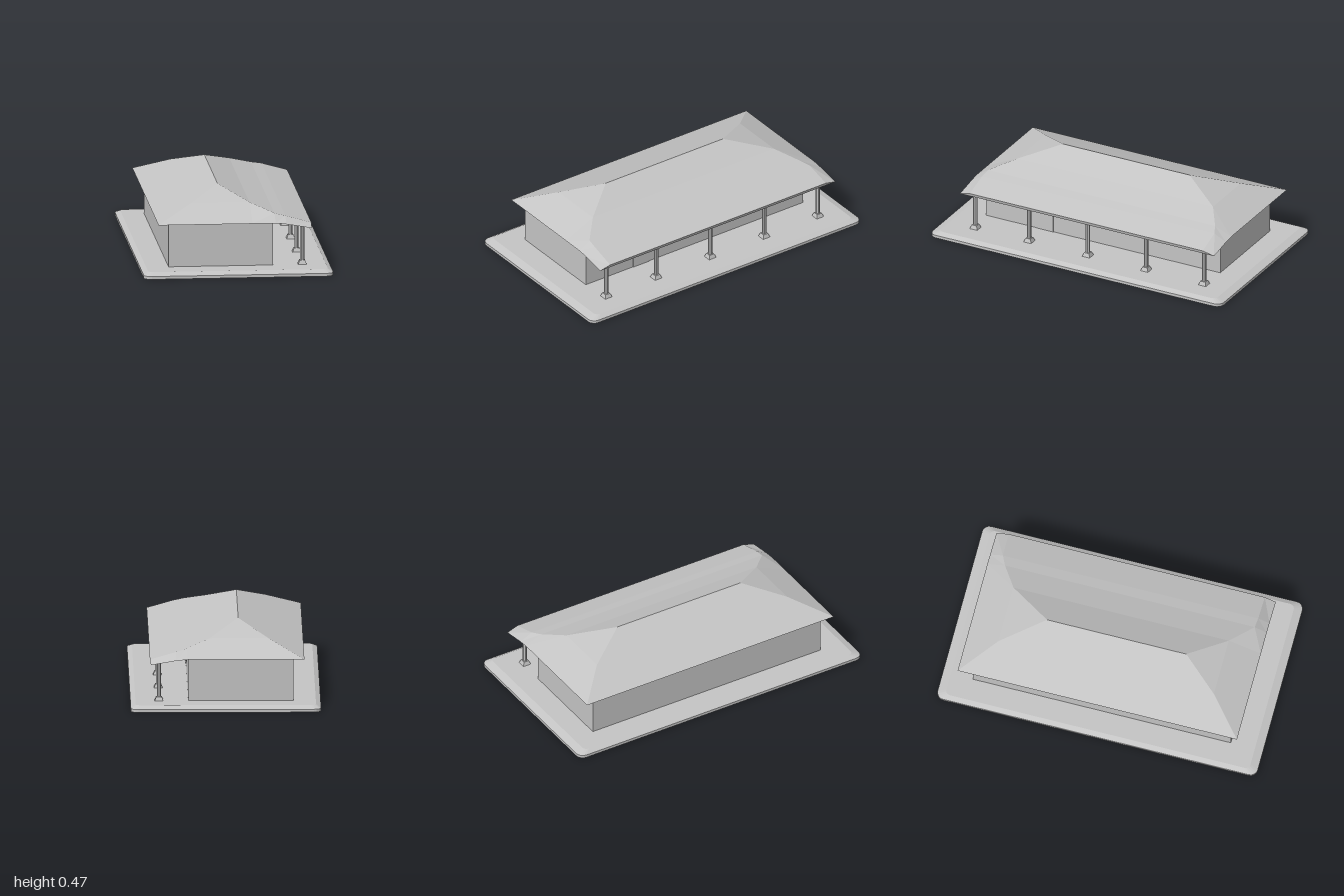
import * as THREE from 'three';

const plaster = new THREE.MeshStandardMaterial({ color: 0xc4c4c4 });
plaster.name = 'light grey';

// Flat-shaded geometry from a list of convex polygons (corners counter-clockwise)
function polygons(faces) {
  const out = [];
  const normal = new THREE.Vector3();
  for (const f of faces) {
    for (let i = 1; i < f.length - 1; i++) {
      const [a, b, c] = [f[0], f[i], f[i + 1]].map(p => new THREE.Vector3(...p));
      new THREE.Triangle(a, b, c).getNormal(normal);
      if (normal.lengthSq() < 0.5) continue; // collapsed corner
      for (const p of [a, b, c]) out.push(p.x, p.y, p.z);
    }
  }
  const g = new THREE.BufferGeometry();
  g.setAttribute('position', new THREE.Float32BufferAttribute(out, 3));
  g.computeVertexNormals();
  return g;
}

// Rounded rectangle loop at height y
function roundedLoop(hx, hz, r, y) {
  const pts = [];
  const corners = [[1, 1], [-1, 1], [-1, -1], [1, -1]];
  corners.forEach(([sx, sz], k) => {
    for (let i = 0; i <= 4; i++) {
      const t = (k + i / 4) * Math.PI / 2;
      pts.push([sx * (hx - r) + r * Math.cos(t), y, sz * (hz - r) + r * Math.sin(t)]);
    }
  });
  return pts;
}

function slabGeometry() {
  const loops = [
    roundedLoop(0.575, 1, 0.045, 0),
    roundedLoop(0.575, 1, 0.045, 0.018),
    roundedLoop(0.545, 0.95, 0.03, 0.035),
  ];
  const faces = [loops[0], [...loops[2]].reverse()];
  for (let k = 0; k < 2; k++) {
    const lo = loops[k], hi = loops[k + 1], n = lo.length;
    for (let i = 0; i < n; i++) {
      const j = (i + 1) % n;
      faces.push([lo[i], hi[i], hi[j], lo[j]]);
    }
  }
  return polygons(faces);
}

function roofGeometry() {
  // x, surface height, front hip z, back hip z, eave height
  const stations = [
    [-0.475, 0.303, 0.855, -0.89, 0.303],
    [-0.26, 0.395, 0.655, -0.69, 0.303],
    [-0.08, 0.47, 0.435, -0.435, 0.303],
    [0.095, 0.395, 0.655, -0.69, 0.303],
    [0.235, 0.35, 0.78, -0.78, 0.303],
    [0.3, 0.335, 0.785, -0.81, 0.296],
    [0.458, 0.29, 0.785, -0.815, 0.27],
  ];
  const sections = stations.map(([x, y, zf, zb, e], i) => {
    const ex = i === 6 ? 0.452 : x;
    const ridge = i === 2; // the hip ends bend below the ridge
    const midF = ridge ? [x, 0.395, 0.655] : [x, y, zf];
    const midB = ridge ? [x, 0.395, -0.69] : [x, y, zb];
    return [[ex, e, 0.855], midF, [x, y, zf], [x, y, zb], midB, [ex, e, -0.89]];
  });
  const faces = [];
  for (let i = 0; i < sections.length - 1; i++) {
    const a = sections[i], b = sections[i + 1];
    for (let j = 0; j < 5; j++) faces.push([a[j], b[j], b[j + 1], a[j + 1]]);
    faces.push([a[0], a[5], b[5], b[0]]); // soffit
  }
  const last = sections[6];
  faces.push([last[0], last[5], last[3], last[2]]); // fascia above the porch
  return polygons(faces);
}

export function createModel() {
  const house = new THREE.Group();
  house.name = 'house';
  const add = (name, geometry, x = 0, y = 0, z = 0, parent = house) => {
    const mesh = new THREE.Mesh(geometry, plaster);
    mesh.name = name;
    mesh.position.set(x, y, z);
    parent.add(mesh);
    return mesh;
  };

  add('foundationSlab', slabGeometry());
  add('walls', new THREE.BoxGeometry(0.635, 0.268, 1.61), -0.0925, 0.169, -0.005);
  add('roof', roofGeometry());

  // Door and window on the porch side
  add('door', new THREE.BoxGeometry(0.006, 0.21, 0.115), 0.226, 0.14, 0.3925);
  add('window', new THREE.BoxGeometry(0.006, 0.13, 0.12), 0.226, 0.193, -0.07);

  // Porch posts on flared square feet
  const shaft = new THREE.CylinderGeometry(0.0135, 0.0135, 0.235, 8).toNonIndexed();
  shaft.rotateY(Math.PI / 8);
  shaft.computeVertexNormals();
  const foot = new THREE.CylinderGeometry(0.017 * Math.SQRT2, 0.026 * Math.SQRT2, 0.025, 4).toNonIndexed();
  foot.rotateY(Math.PI / 4);
  foot.computeVertexNormals();
  for (const z of [0.775, 0.405, 0.003, -0.397, -0.795]) {
    const post = new THREE.Group();
    post.name = 'porchPost';
    post.position.set(0.403, 0, z);
    add('postShaft', shaft, 0, 0.1635, 0, post);
    add('postFoot', foot, 0, 0.0465, 0, post);
    house.add(post);
  }
  return house;
}
